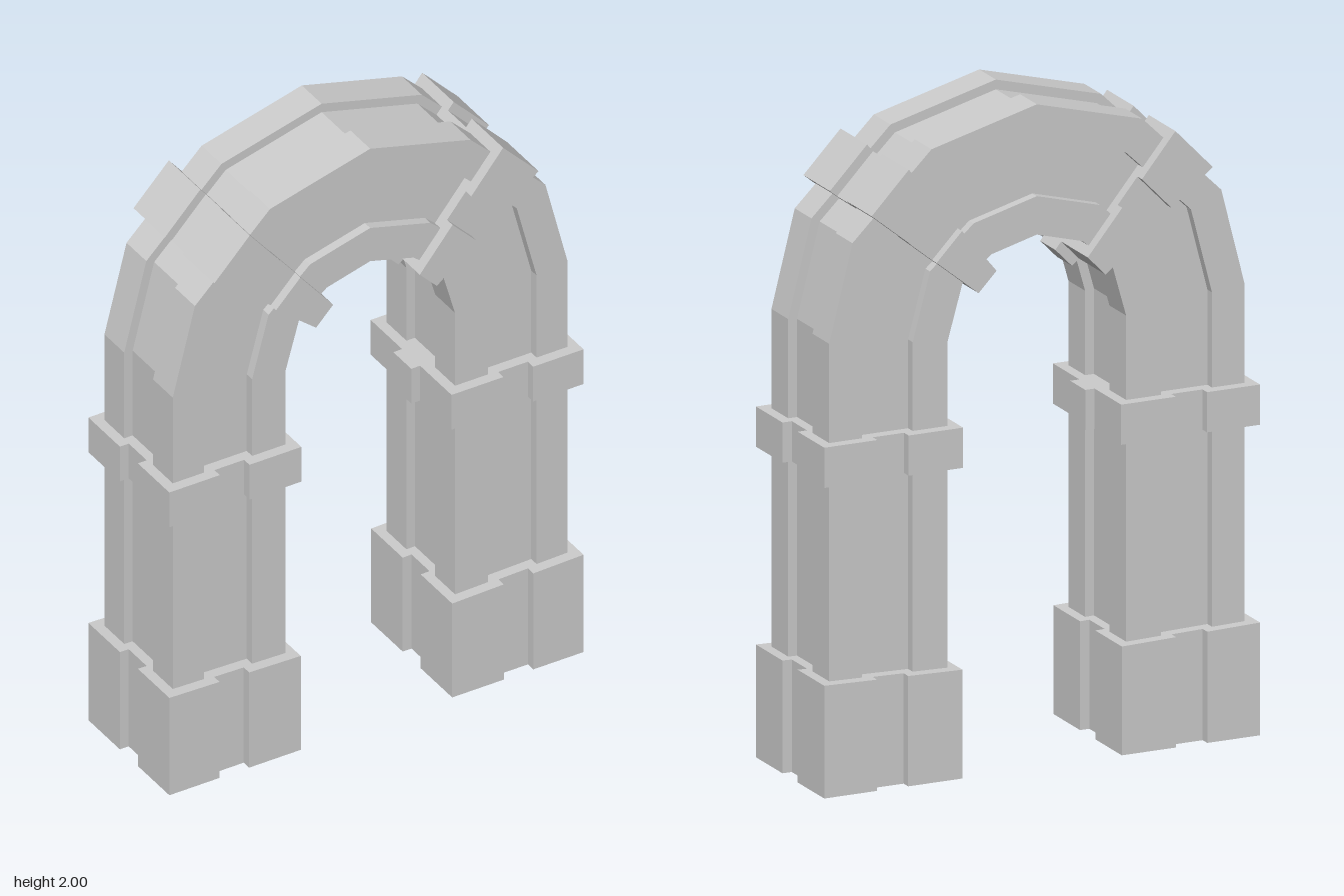
import * as THREE from 'three';

const material = new THREE.MeshStandardMaterial({ color: 0xcccccc, flatShading: true });

// Rectangular section with a centred channel in each side.
// t runs from the inner (0) to the outer (1) face of the arch; a negative inner depth gives a raised block.
function channelSection({ halfZ, t0, t1, gapZ, depth, depthT, innerT }) {
  const d = halfZ - depth;
  return [
    [0, -halfZ], [t0, -halfZ], [t0, -d], [t1, -d], [t1, -halfZ],
    [1, -halfZ], [1, -gapZ], [1 - depthT, -gapZ], [1 - depthT, gapZ], [1, gapZ],
    [1, halfZ], [t1, halfZ], [t1, d], [t0, d], [t0, halfZ],
    [0, halfZ], [0, gapZ], [innerT, gapZ], [innerT, -gapZ], [0, -gapZ],
  ];
}

// Sweeps a section through stations [innerX, innerY, outerX, outerY] and caps both ends.
function loft(section, stations) {
  const rings = stations.map(([ix, iy, ox, oy]) =>
    section.map(([t, z]) => [ix + (ox - ix) * t, iy + (oy - iy) * t, z]));
  const pos = [];
  const tri = (a, b, c) => pos.push(...a, ...b, ...c);
  const n = section.length;
  for (let i = 0; i < rings.length - 1; i++) {
    const a = rings[i], b = rings[i + 1];
    for (let j = 0; j < n; j++) {
      const k = (j + 1) % n;
      tri(a[j], b[j], b[k]);
      tri(a[j], b[k], a[k]);
    }
  }
  const first = rings[0], last = rings[rings.length - 1];
  const caps = THREE.ShapeUtils.triangulateShape(section.map(([t, z]) => new THREE.Vector2(t, z)), []);
  for (const [a, b, c] of caps) {
    tri(first[a], first[b], first[c]);
    tri(last[c], last[b], last[a]);
  }
  const geometry = new THREE.BufferGeometry();
  geometry.setAttribute('position', new THREE.Float32BufferAttribute(pos, 3));
  geometry.computeVertexNormals();
  return geometry;
}

// Mirrors stations in x, reversing them so faces still point outward.
const mirrored = (stations) => stations.map(([ix, iy, ox, oy]) => [-ix, iy, -ox, oy]).reverse();

export function createModel() {
  const group = new THREE.Group();
  const add = (name, section, stations) => {
    const mesh = new THREE.Mesh(loft(section, stations), material);
    mesh.name = name;
    group.add(mesh);
  };

  // Continuous arch: up one leg, over the crown and down the other
  const archSection = channelSection({
    halfZ: 0.19, t0: 0.295, t1: 0.725, gapZ: 0.08, depth: 0.03, depthT: 0.075, innerT: 0.075,
  });
  const half = [
    [0.288, 0.1, 0.67, 0.1],
    [0.288, 1.32, 0.67, 1.365],
    [0.24, 1.49, 0.595, 1.66],
    [0.147, 1.565, 0.34, 1.91],
  ];
  add('arch', archSection, [...half, [0, 1.605, 0, 2], ...mirrored(half)]);

  // Feet and bands share a wider section; bands carry a raised block on the inside
  const wide = { halfZ: 0.225, t0: 0.393, t1: 0.618, gapZ: 0.05, depth: 0.03, depthT: 0.067 };
  const footSection = channelSection({ ...wide, innerT: 0.067 });
  const bandSection = channelSection({ ...wide, innerT: -0.067 });

  const parts = [
    ['foot', footSection, [[0.257, 0, 0.703, 0], [0.257, 0.33, 0.703, 0.342]]],
    ['legBand', bandSection, [[0.255, 0.942, 0.703, 0.942], [0.255, 1.064, 0.703, 1.064]]],
    ['archBand', bandSection, [[0.205, 1.465, 0.55, 1.745], [0.147, 1.525, 0.43, 1.87]]],
  ];
  for (const [name, section, stations] of parts) {
    add(name + 'Left', section, stations);
    add(name + 'Right', section, mirrored(stations));
  }
  return group;
}
